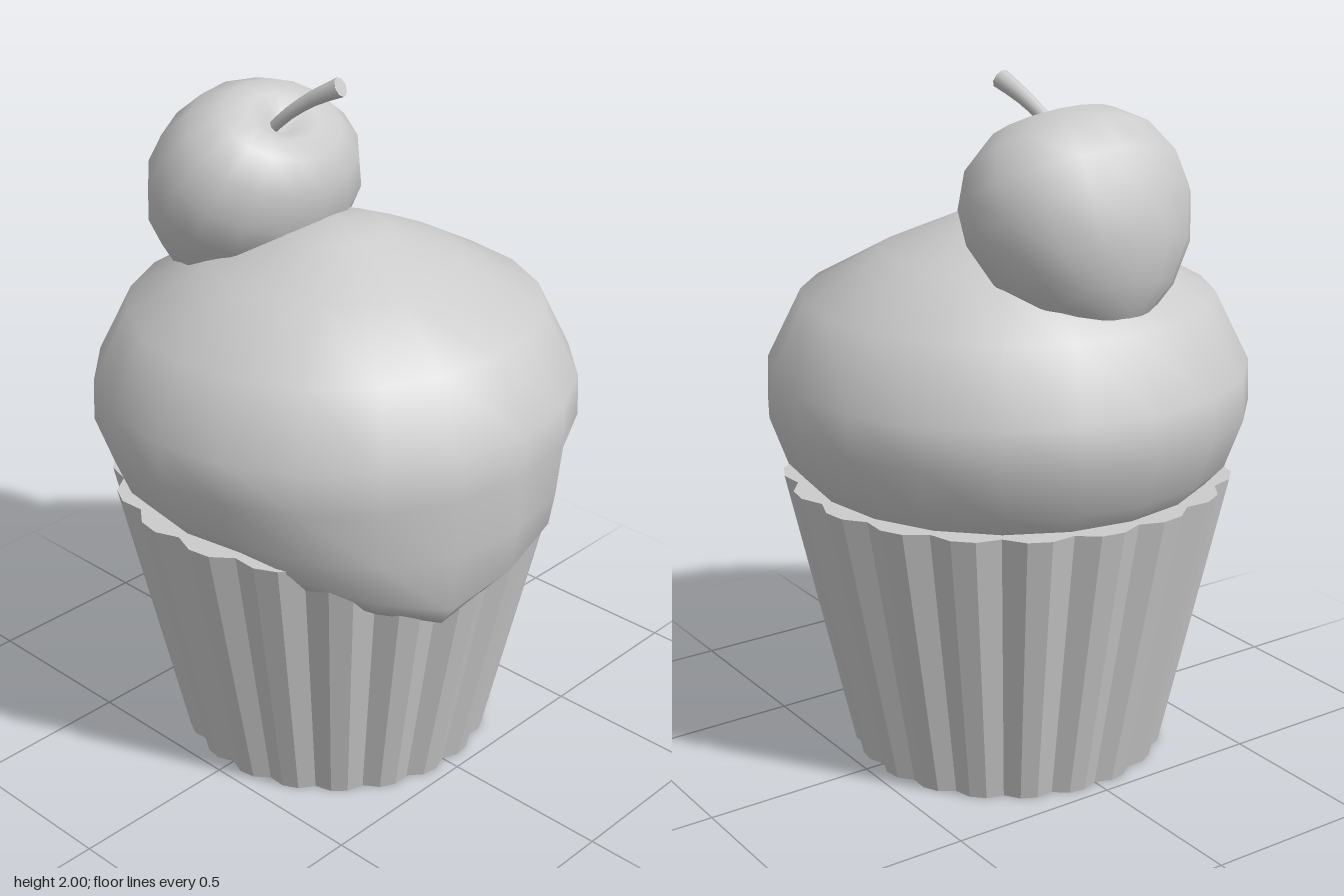
import * as THREE from 'three';
import { mergeVertices } from 'three/addons/utils/BufferGeometryUtils.js';

const grey = (opts = {}) => new THREE.MeshStandardMaterial({ color: 0xcccccc, ...opts });

function addMesh(group, name, geometry, material) {
  const mesh = new THREE.Mesh(geometry, material);
  mesh.name = name;
  group.add(mesh);
  return mesh;
}

// Calls rule(v) on every vertex, changing it in place
function bend(geometry, rule) {
  const pos = geometry.attributes.position, v = new THREE.Vector3();
  for (let i = 0; i < pos.count; i++) {
    v.fromBufferAttribute(pos, i);
    rule(v, i);
    pos.setXYZ(i, v.x, v.y, v.z);
  }
  return geometry;
}

// Welds the seam so the surface shades smoothly all round
function weld(geometry) {
  geometry.deleteAttribute('normal');
  geometry.deleteAttribute('uv');
  const g = mergeVertices(geometry, 1e-4);
  g.computeVertexNormals();
  return g;
}

const lathe = (points, sides) =>
  new THREE.LatheGeometry(points.map(([r, y]) => new THREE.Vector2(r, y)), sides);

// Pleated paper case: 20 flutes of three facets, pinched in at each valley
function cupGeometry() {
  const facets = 60;
  const g = new THREE.CylinderGeometry(0.65, 0.462, 0.85, facets, 1);
  bend(g, v => {
    const k = Math.round(Math.atan2(v.x, v.z) / (2 * Math.PI) * facets) + facets;
    const s = k % 3 === 0 ? 0.955 : 1;
    v.x *= s;
    v.z *= s;
  });
  return g.translate(0, 0.425, 0);
}

// Domed frosting whose lower rows run down over the case on one side
function frostingGeometry() {
  const sides = 20;
  const profile = [[0, 0.8], [0.56, 0.8], [0.59, 0.85], [0.645, 0.91], [0.695, 1.05],
    [0.69, 1.17], [0.59, 1.37], [0.36, 1.495], [0.15, 1.585], [0, 1.605]];
  const dripRows = { 1: [0.61, 0.63], 2: [0.665, 0.7], 3: [0.68, 0.87] };
  const dripAmount = { '-1': 0.33, 0: 0.64, 1: 1, 2: 0.6, 3: 0.23 };
  const g = lathe(profile, sides);
  bend(g, (v, i) => {
    const row = i % profile.length;
    const k = Math.round(Math.atan2(v.z, v.x) / (2 * Math.PI) * sides);
    const t = dripAmount[k] ?? 0;
    if (!t || !dripRows[row]) return;
    const [r0, y0] = profile[row], [r1, y1] = dripRows[row];
    const s = THREE.MathUtils.lerp(r0, r1, Math.min(1, 3 * t)) / r0;
    v.set(v.x * s, THREE.MathUtils.lerp(y0, y1, t), v.z * s);
  });
  return weld(g);
}

// Cherry with a dimple on top, slightly narrow from side to side
function cherryGeometry() {
  const g = lathe([[0, -0.31], [0.1, -0.285], [0.2, -0.215], [0.285, -0.11], [0.33, 0.02],
    [0.325, 0.12], [0.275, 0.22], [0.19, 0.285], [0.11, 0.295], [0.045, 0.265], [0, 0.235]], 16);
  return weld(g.scale(0.82, 1, 1.01));
}

// Curved stem that flares toward its cut end
function addStem(group) {
  const curve = new THREE.CatmullRomCurve3([
    new THREE.Vector3(-0.23, 1.81, 0.03), new THREE.Vector3(-0.17, 1.87, 0.015),
    new THREE.Vector3(-0.09, 1.93, -0.01), new THREE.Vector3(-0.012, 1.972, -0.032)]);
  const steps = 6, sides = 8;
  const tube = new THREE.TubeGeometry(curve, steps, 0.017, sides);
  bend(tube, (v, i) => {
    const t = Math.floor(i / (sides + 1)) / steps;
    const c = curve.getPointAt(t);
    v.sub(c).multiplyScalar(1 + 0.65 * t * t).add(c);
  });
  addMesh(group, 'cherryStem', tube, grey());
  const end = addMesh(group, 'stemEnd', new THREE.CircleGeometry(0.028, sides), grey());
  end.position.copy(curve.getPointAt(1));
  end.lookAt(curve.getPointAt(1).add(curve.getTangentAt(1)));
}

export function createModel() {
  const cupcake = new THREE.Group();
  cupcake.name = 'cupcake';
  addMesh(cupcake, 'paperCase', cupGeometry(), grey({ flatShading: true }));
  addMesh(cupcake, 'frosting', frostingGeometry(), grey());
  const cherry = addMesh(cupcake, 'cherry', cherryGeometry(), grey());
  cherry.position.set(-0.325, 1.61, 0.02);
  cherry.rotation.z = -Math.PI / 6;
  addStem(cupcake);
  return cupcake;
}
